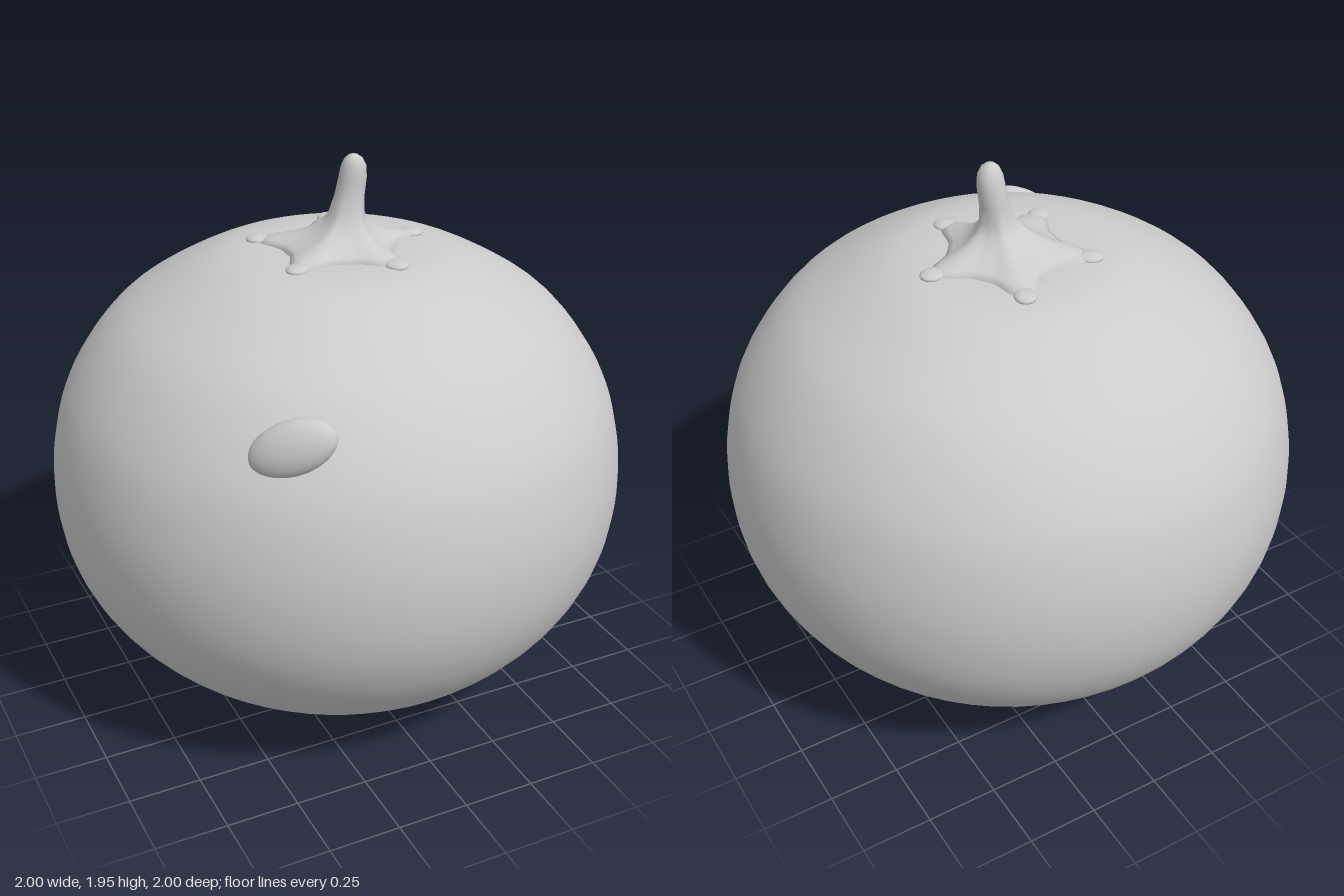
import * as THREE from 'three';

const grey = new THREE.MeshStandardMaterial({ color: 0xcccccc });
grey.name = 'light grey';

function part(name, geometry) {
  const mesh = new THREE.Mesh(geometry, grey);
  mesh.name = name;
  return mesh;
}

// Smooth round body with flattened ends
function bodyGeometry() {
  const profile = [
    [0, 0.015], [0.15, 0.006], [0.25, 0.002], [0.36, 0.03], [0.51, 0.1], [0.68, 0.2], [0.81, 0.32],
    [0.91, 0.46], [0.975, 0.62], [1, 0.82], [0.98, 1.01], [0.92, 1.19], [0.77, 1.4],
    [0.6, 1.52], [0.42, 1.605], [0.3, 1.627], [0.15, 1.628], [0, 1.62],
  ].map(([x, y]) => new THREE.Vector3(x, y, 0));
  const points = new THREE.CatmullRomCurve3(profile).getPoints(68)
    .map((p) => new THREE.Vector2(Math.max(p.x, 0), p.y));
  return new THREE.LatheGeometry(points, 64);
}

// Five-pointed leaf collar flowing up into the stalk, lofted from rings:
// [y, valley radius, tip radius, centre x, centre z]
function stalkGeometry() {
  const rings = [
    [1.6, 0.19, 0.285, 0.015, -0.015],
    [1.632, 0.195, 0.285, 0.015, -0.015],
    [1.645, 0.175, 0.245, 0.015, -0.012],
    [1.662, 0.14, 0.18, 0.018, -0.005],
    [1.685, 0.105, 0.125, 0.022, 0.005],
    [1.715, 0.075, 0.085, 0.026, 0.012],
    [1.75, 0.058, 0.062, 0.032, 0.016],
    [1.81, 0.05, 0.05, 0.043, 0.014],
    [1.87, 0.047, 0.047, 0.052, 0.018],
    [1.91, 0.042, 0.042, 0.053, 0.023],
    [1.935, 0.03, 0.03, 0.052, 0.025],
    [1.947, 0.015, 0.015, 0.051, 0.025],
    [1.95, 0, 0, 0.051, 0.025],
  ];
  const n = 60;
  const positions = [];
  const indices = [];
  rings.forEach(([y, valley, tip, cx, cz], j) => {
    for (let i = 0; i < n; i++) {
      const a = (i / n) * Math.PI * 2;
      const r = valley + (tip - valley) * Math.pow(Math.abs(Math.cos(2.5 * a)), 4);
      positions.push(cx + r * Math.cos(a), y, cz + r * Math.sin(a));
      if (j === rings.length - 1) continue;
      const p = j * n + i;
      const q = j * n + ((i + 1) % n);
      indices.push(p, p + n, q, q, p + n, q + n);
    }
  });
  const geometry = new THREE.BufferGeometry();
  geometry.setAttribute('position', new THREE.Float32BufferAttribute(positions, 3));
  geometry.setIndex(indices);
  geometry.computeVertexNormals();
  return geometry;
}

export function createModel() {
  const model = new THREE.Group();
  model.name = 'roundFruit';
  model.add(part('body', bodyGeometry()), part('collarAndStalk', stalkGeometry()));

  // Small rounded ends on the collar points
  const tipGeometry = new THREE.SphereGeometry(1, 16, 10);
  for (let i = 0; i < 5; i++) {
    const a = (i / 5) * Math.PI * 2;
    const tip = part('collarTip', tipGeometry);
    tip.scale.set(0.045, 0.016, 0.038);
    tip.position.set(0.015 + 0.275 * Math.cos(a), 1.63, -0.015 + 0.275 * Math.sin(a));
    tip.rotation.y = -a;
    model.add(tip);
  }

  // Oval spot lying against the upper front of the body
  const normal = new THREE.Vector3(-0.6, 0.2, 0.77).normalize();
  const side = new THREE.Vector3(0, 1, 0).cross(normal).normalize();
  const up = normal.clone().cross(side);
  const spot = part('ovalSpot', new THREE.SphereGeometry(1, 32, 20));
  spot.quaternion.setFromRotationMatrix(new THREE.Matrix4().makeBasis(side, up, normal));
  spot.rotateZ(0.44);
  spot.scale.set(0.145, 0.085, 0.052);
  spot.position.set(-0.485, 1.31, 0.715);
  model.add(spot);

  return model;
}
